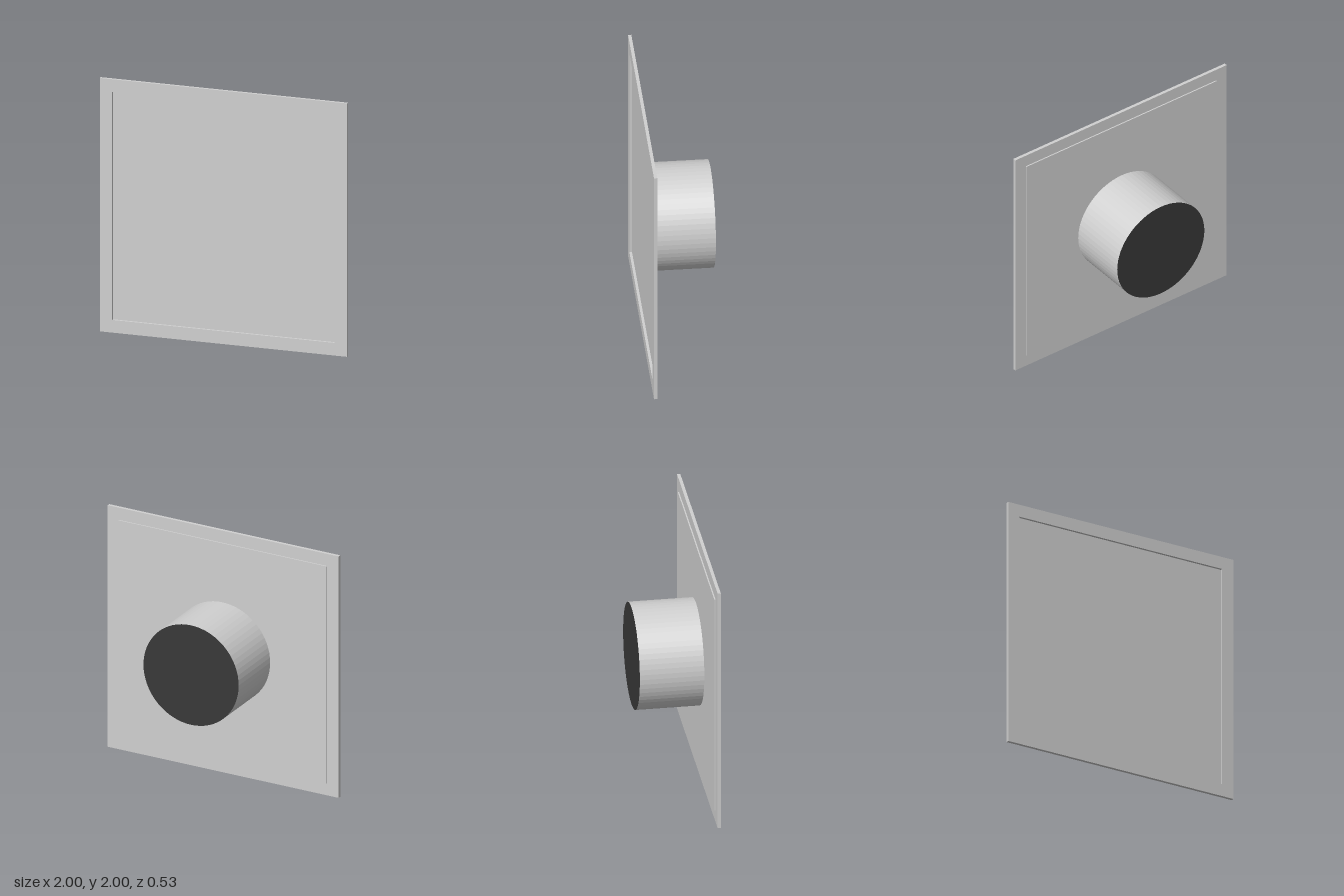
import * as THREE from 'three';

const FRONT = 0.265, BACK = -0.265, CENTRE_Y = 1;

// Square outline centred on the origin
function square(PathType, half) {
  return new PathType([
    new THREE.Vector2(-half, -half), new THREE.Vector2(half, -half),
    new THREE.Vector2(half, half), new THREE.Vector2(-half, half),
  ]);
}

export function createModel() {
  const group = new THREE.Group();
  const paleGrey = new THREE.MeshStandardMaterial({ color: 0xd0d0d0 });
  const darkGrey = new THREE.MeshStandardMaterial({ color: 0x383838 });

  function add(name, geometry, material, z) {
    const mesh = new THREE.Mesh(geometry, material);
    mesh.name = name;
    mesh.position.set(0, CENTRE_Y, z);
    group.add(mesh);
  }

  // Square border around the recessed panel
  const border = square(THREE.Shape, 1);
  border.holes.push(square(THREE.Path, 0.9));
  add('frame', new THREE.ExtrudeGeometry(border, { depth: 0.025, bevelEnabled: false }), paleGrey, FRONT - 0.025);

  // Panel set back in the frame, standing slightly proud behind it
  add('panel', new THREE.BoxGeometry(1.8, 1.8, 0.015), paleGrey, 0.2375);

  // Round duct behind the panel, with faceted sides
  const length = 0.23 - BACK;
  let duct = new THREE.CylinderGeometry(0.412, 0.412, length, 64, 1, true).rotateX(Math.PI / 2).toNonIndexed();
  duct.computeVertexNormals();
  add('duct', duct, paleGrey, BACK + length / 2);

  // Dark disc closing the duct, facing the back
  add('ductEnd', new THREE.CircleGeometry(0.412, 64).rotateY(Math.PI), darkGrey, BACK);

  return group;
}
